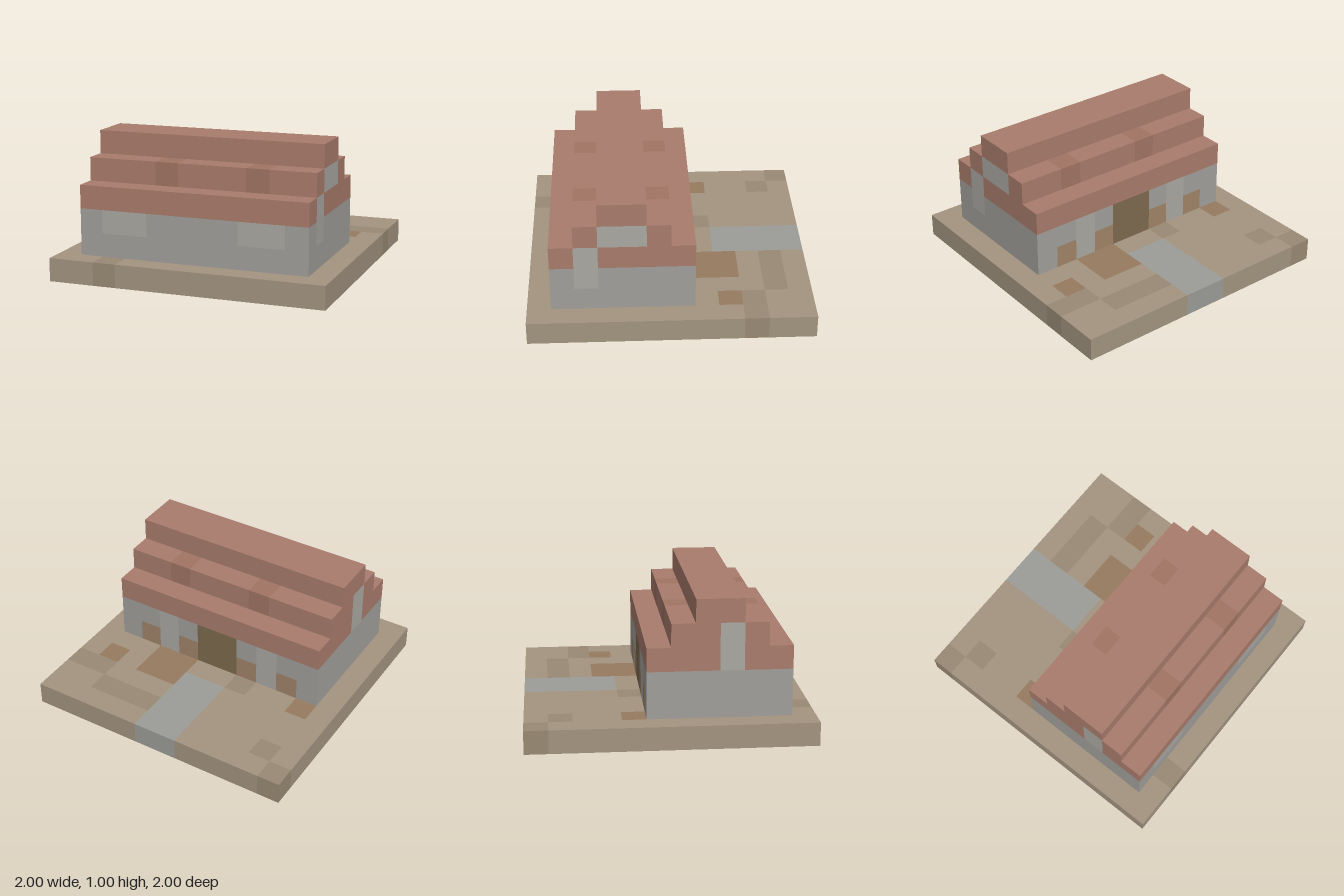
import * as THREE from 'three';
import { mergeGeometries } from 'three/addons/utils/BufferGeometryUtils.js';

const U = 1 / 6; // edge of one block

const COLORS = {
  ground: 0xa39480, groundDark: 0x998a74, dirtPatch: 0x967a5f, path: 0x9c9d98,
  wall: 0xa19f9a, wallLight: 0xaaa8a2, wallPatch: 0xa08468, door: 0x7d6a4e,
  roof: 0xa97c6c, roofDark: 0xa17464,
};

const within = (v, a, b) => v >= a && v <= b;

// Ground slab, one block high, with a path to the door at the back
function groundBlock(x, z) {
  if (!within(x, -6, 5) || !within(z, -6, 5)) return null;
  if (within(x, -1, 0) && z <= -3) return 'path';
  const dirt = (within(x, 1, 2) && within(z, -3, -2)) || (x === 4 && z === -3) || (x === -5 && z === -2);
  if (dirt) return 'dirtPatch';
  const dark = (x === -6 && z === -6) || (x === -5 && z === -5) || (within(x, 1, 3) && z === -5) ||
    (x >= 4 && z === -4) || (x === -4 && z === 5) || (x === -2 && z === -2);
  return dark ? 'groundDark' : 'ground';
}

// Hollow room, two blocks high, with patched back wall and door
function wallBlock(x, y, z) {
  if (!within(x, -5, 4) || !within(z, -1, 4)) return null;
  if (within(x, -4, 3) && within(z, 0, 3)) return null;
  if (z === -1) {
    if (x === 0 || x === -1) return 'door';
    if (y === 1 && [3, 1, -2, -4].includes(x)) return 'wallPatch';
    return x === 2 || x === -3 ? 'wallLight' : 'wall';
  }
  if (z === 4 && y === 2 && [-4, -3, 2, 3].includes(x)) return 'wallLight';
  if (x === 4 && z === 3 && y === 2) return 'wallLight';
  return 'wall';
}

// Stepped roof: each course moves in by one block; the gable ends are filled
function roofBlock(x, y, z) {
  const step = y - 3, back = -1 + step, front = 4 - step;
  if (!within(x, -5, 4) || !within(z, back, front)) return null;
  if (z > back && z < front) {
    if (x === 4) return (y === 3 && z === 3) || y === 4 ? 'wallLight' : 'roof';
    if (x === -5) return z === 2 ? 'wallLight' : 'roof';
    return null;
  }
  return y === 4 && (x === 2 || x === -2) ? 'roofDark' : 'roof';
}

function blockAt(x, y, z) {
  if (y === 0) return groundBlock(x, z);
  if (y === 1 || y === 2) return wallBlock(x, y, z);
  return within(y, 3, 5) ? roofBlock(x, y, z) : null;
}

// One square per exposed block side
const SIDES = [[1, 0, 0], [-1, 0, 0], [0, 1, 0], [0, -1, 0], [0, 0, 1], [0, 0, -1]];
const FORWARD = new THREE.Vector3(0, 0, 1);

function blockSide(x, y, z, side) {
  const n = new THREE.Vector3(...side);
  const g = new THREE.PlaneGeometry(U, U);
  g.applyQuaternion(new THREE.Quaternion().setFromUnitVectors(FORWARD, n));
  const c = new THREE.Vector3(x + 0.5, y + 0.5, z + 0.5).addScaledVector(n, 0.5).multiplyScalar(U);
  return g.translate(c.x, c.y, c.z);
}

export function createModel() {
  const faces = {};
  for (let y = 0; y < 6; y++)
    for (let x = -6; x < 6; x++)
      for (let z = -6; z < 6; z++) {
        const part = blockAt(x, y, z);
        if (!part) continue;
        for (const side of SIDES) {
          // the slab is open underneath
          if (y === 0 && side[1] < 0) continue;
          if (blockAt(x + side[0], y + side[1], z + side[2])) continue;
          (faces[part] ??= []).push(blockSide(x, y, z, side));
        }
      }

  const model = new THREE.Group();
  model.name = 'blockHouse';
  for (const [part, list] of Object.entries(faces)) {
    const material = new THREE.MeshStandardMaterial({ color: COLORS[part], side: THREE.DoubleSide });
    const mesh = new THREE.Mesh(mergeGeometries(list), material);
    mesh.name = part;
    model.add(mesh);
  }
  return model;
}
